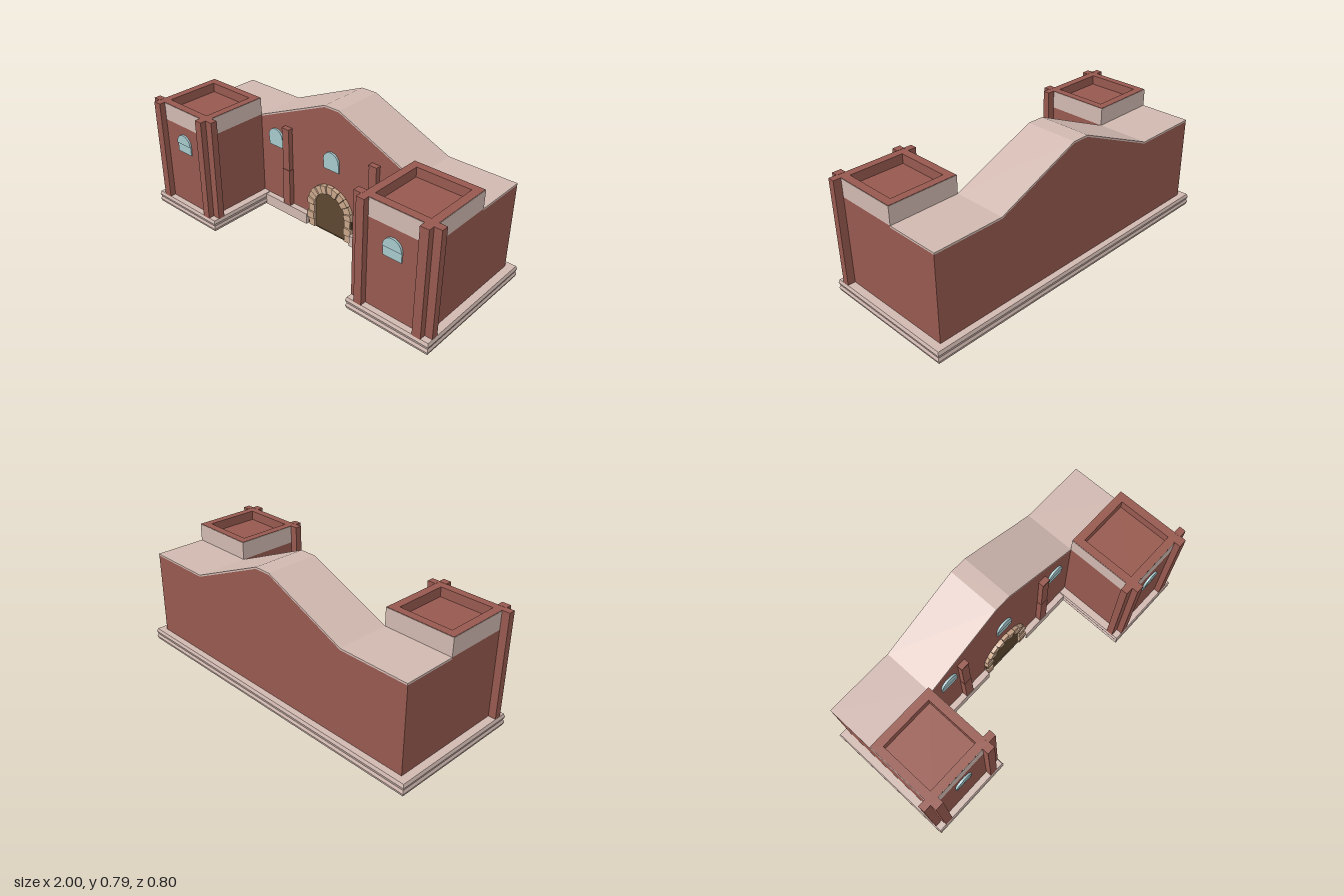
import * as THREE from 'three';

const mat = (color, side = THREE.FrontSide) =>
  new THREE.MeshStandardMaterial({ color, flatShading: true, side });
const BRICK = mat(0x96594f);
const STONE = mat(0xd0b8b0);
const ARCH = mat(0xc9a68a);
const WOOD = mat(0x5c4630);
const GLASS = mat(0xa6c8cc);

export function createModel() {
  const root = new THREE.Group();

  const add = (name, geometry, material) => {
    const mesh = new THREE.Mesh(geometry, material);
    mesh.name = name;
    root.add(mesh);
    return mesh;
  };
  // Box given by its limits on each axis
  const box = (name, x0, x1, y0, y1, z0, z1, material) =>
    add(name, new THREE.BoxGeometry(x1 - x0, y1 - y0, z1 - z0), material)
      .position.set((x0 + x1) / 2, (y0 + y1) / 2, (z0 + z1) / 2);
  const toShape = pts => new THREE.Shape(pts.map(p => new THREE.Vector2(...p)));
  const extrude = (shape, depth, z = 0) =>
    new THREE.ExtrudeGeometry(shape, { depth, bevelEnabled: false, curveSegments: 10 }).translate(0, 0, z);
  // Round-headed opening, its foot at y0
  const archShape = (x, y0, spring, r) => {
    const s = new THREE.Shape();
    s.moveTo(x - r, y0);
    s.lineTo(x + r, y0);
    s.lineTo(x + r, spring);
    s.absarc(x, spring, r, 0, Math.PI);
    s.closePath();
    return s;
  };
  // Hollow rectangle lying flat between y0 and y1
  const ring = (name, [x0, x1, z0, z1], o, wall, y0, y1, material) => {
    const rect = d => [[x0 + d, -z1 + d], [x1 - d, -z1 + d], [x1 - d, -z0 - d], [x0 + d, -z0 - d]];
    const s = toShape(rect(o));
    s.holes.push(new THREE.Path(rect(wall).reverse().map(p => new THREE.Vector2(...p))));
    add(name, extrude(s, y1 - y0).rotateX(-Math.PI / 2).translate(0, y0, 0), material);
  };

  // Ridged U-shaped plinth: stacked outlines, offset inwards at the grooves
  const outline = o => [
    [-1 + o, 0.4 - o], [-0.495 - o, 0.4 - o], [-0.495 - o, -0.05], [0.495 + o, -0.05],
    [0.495 + o, 0.4 - o], [1 - o, 0.4 - o], [1 - o, -0.4 + o], [-1 + o, -0.4 + o]];
  const layers = [[0, 0.006], [0.017, 0], [0.034, 0.006], [0.051, 0], [0.07, 0.006]];
  const pos = [];
  for (let k = 0; k < layers.length - 1; k++) {
    const [ya, oa] = layers[k], [yb, ob] = layers[k + 1];
    const A = outline(oa), B = outline(ob);
    for (let i = 0; i < A.length; i++) {
      const j = (i + 1) % A.length;
      const a = [A[i][0], ya, A[i][1]], b = [A[j][0], ya, A[j][1]];
      const c = [B[j][0], yb, B[j][1]], d = [B[i][0], yb, B[i][1]];
      pos.push(...a, ...b, ...c, ...a, ...c, ...d);
    }
  }
  const plinth = new THREE.BufferGeometry();
  plinth.setAttribute('position', new THREE.Float32BufferAttribute(pos, 3));
  plinth.computeVertexNormals();
  add('plinthSides', plinth, STONE);
  const cap = sign => new THREE.ShapeGeometry(toShape(outline(0.006).map(([x, z]) => [x, -sign * z])))
    .rotateX(-sign * Math.PI / 2);
  add('plinthTop', cap(1).translate(0, 0.07, 0), STONE);
  add('plinthUnderside', cap(-1), BRICK);
  for (const s of [-1, 1]) {
    const [a, b] = [s * 0.163, s * 0.497].sort((p, q) => p - q);
    box('middlePlinth', a, b, 0, 0.068, -0.05, -0.015, STONE);
  }

  // Main hall with gabled top
  const roofLine = [[0.95, 0.575], [0.545, 0.575], [0.05, 0.788], [-0.05, 0.788], [-0.545, 0.575], [-0.95, 0.575]];
  const under = roofLine.map(([x, y]) => [x, y - 0.01]);
  add('hall', extrude(toShape([[-0.95, 0.06], [0.95, 0.06], ...under]), 0.307, -0.357), BRICK);
  add('roof', extrude(toShape([...roofLine, ...under.slice().reverse()]), 0.31, -0.359), STONE);

  // Two corner towers
  for (const s of [-1, 1]) {
    const span = (a, b) => s > 0 ? [a, b] : [-b, -a];
    const [x0, x1] = span(0.545, 0.95);
    const plan = [x0, x1, -0.05, 0.36];
    box('tower', x0, x1, 0.06, 0.575, -0.05, 0.36, BRICK);
    ring('parapetBand', plan, 0, 0.01, 0.575, 0.678, STONE);
    ring('parapetWall', plan, 0.002, 0.047, 0.575, 0.68, BRICK);
    box('towerRoof', x0 + 0.03, x1 - 0.03, 0.575, 0.625, -0.02, 0.33, BRICK);
    // Paired pilasters at both front corners
    for (const [a, b, za, zb] of [
      [0.9, 0.95, 0.355, 0.395], [0.545, 0.592, 0.355, 0.395],
      [0.945, 0.993, 0.32, 0.36], [0.5, 0.55, 0.32, 0.36]])
      box('towerPilaster', ...span(a, b), 0.06, 0.681, za, zb, BRICK);
  }

  // Pilasters on the hall front, slightly thicker below
  for (const x of [-0.323, 0.309]) {
    box('hallPilasterLower', x - 0.027, x + 0.027, 0.06, 0.303, -0.05, -0.017, BRICK);
    box('hallPilasterUpper', x - 0.025, x + 0.025, 0.303, 0.555, -0.05, -0.02, BRICK);
    box('hallPilasterCap', x - 0.027, x + 0.027, 0.555, 0.567, -0.05, -0.017, BRICK);
  }

  // Round-headed windows: pane with a raised lunette
  for (const [x, z] of [[-0.747, 0.36], [-0.423, -0.05], [0.003, -0.05], [0.417, -0.05], [0.743, 0.36]]) {
    add('windowPane', extrude(archShape(x, 0.412, 0.47, 0.055), 0.009, z - 0.002), GLASS);
    add('windowHead', extrude(archShape(x, 0.466, 0.47, 0.055), 0.014, z - 0.002), GLASS);
  }

  // Door and its stone arch
  add('door', extrude(archShape(0, 0.001, 0.147, 0.116), 0.008, -0.051), WOOD);
  const N = 11, gap = 0.012, spring = 0.147;
  for (let i = 0; i < N; i++) {
    const a = Math.PI * i / N + gap, b = Math.PI * (i + 1) / N - gap;
    const s = new THREE.Shape();
    s.absarc(0, spring, 0.163, a, b, false);
    s.absarc(0, spring, 0.113, b, a, true);
    add('archStone', extrude(s, i % 2 ? 0.02 : 0.026, -0.05), ARCH);
  }
  add('archJoints', (() => {
    const s = archShape(0, 0.001, spring, 0.161);
    s.holes.push(new THREE.Path(archShape(0, 0.002, spring, 0.115).getPoints(10)));
    return extrude(s, 0.014, -0.05);
  })(), WOOD);
  for (const s of [-1, 1])
    for (let i = 0; i < 3; i++) {
      const h = spring / 3, outer = i % 2 ? 0.163 : 0.155;
      const [a, b] = [s * 0.113, s * outer].sort((p, q) => p - q);
      box('jambStone', a, b, i * h, (i + 1) * h - 0.003, -0.05, i % 2 ? -0.024 : -0.03, ARCH);
    }

  return root;
}
